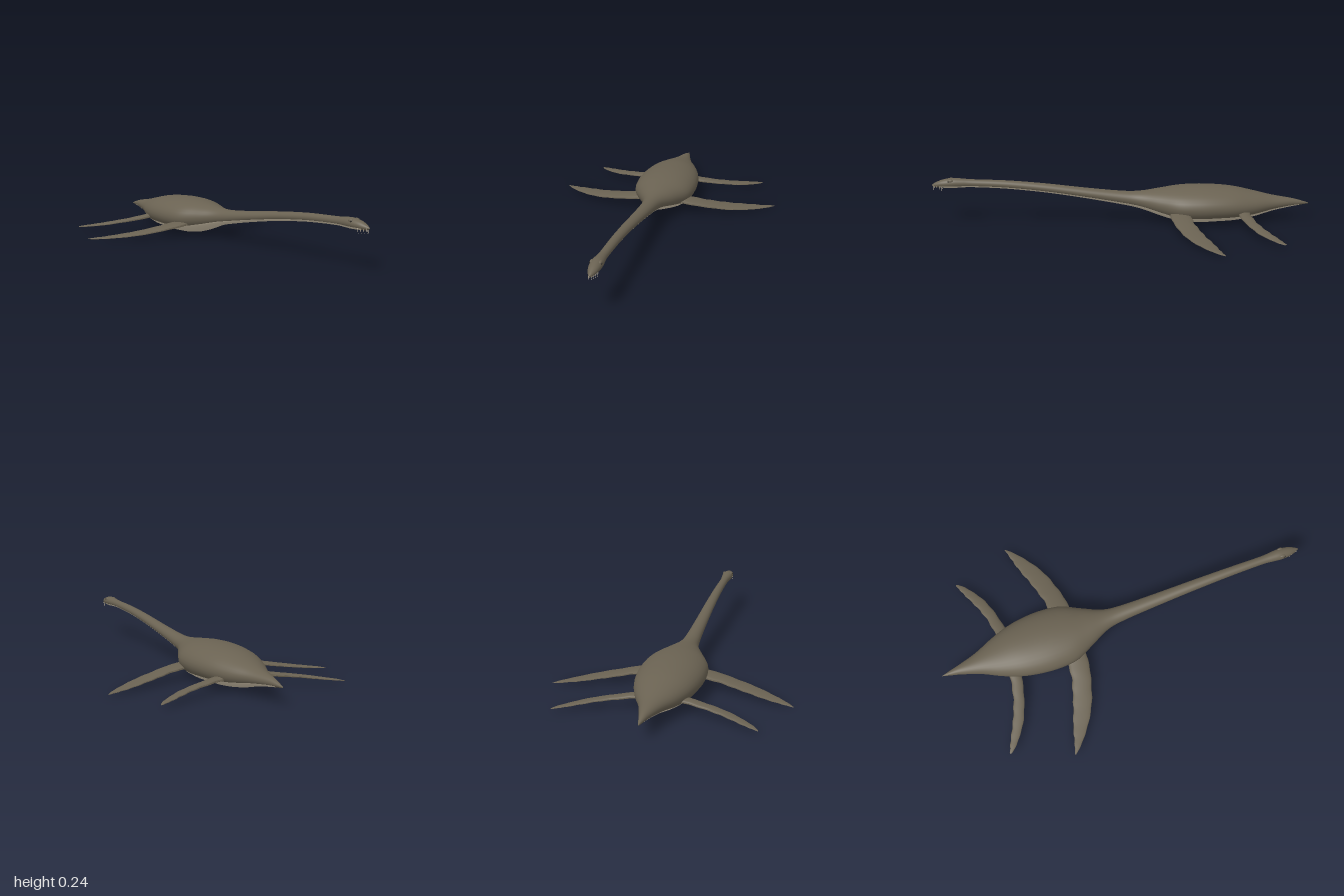
import * as THREE from 'three';

const hide = new THREE.MeshStandardMaterial({ color: 0x6a6252 });
hide.name = 'olive brown hide';
const pale = new THREE.MeshStandardMaterial({ color: 0xd6c9b0 });
pale.name = 'pale belly';
const tan = new THREE.MeshStandardMaterial({ color: 0x8c8069 });
tan.name = 'tan flipper underside';
const dark = new THREE.MeshStandardMaterial({ color: 0x24201a });
dark.name = 'eye dark';

// Smoothly resamples a list of stations (equal-length number rows)
function resample(rows, steps) {
  const out = [];
  const n = rows.length - 1;
  for (let k = 0; k < n; k++) {
    const p = [rows[Math.max(k - 1, 0)], rows[k], rows[k + 1], rows[Math.min(k + 2, n)]];
    for (let s = 0; s < steps; s++) {
      const t = s / steps;
      out.push(p[1].map((b, c) => {
        const a = p[0][c], d = p[2][c], e = p[3][c];
        return b + 0.5 * t * (d - a + t * (2 * a - 5 * b + 4 * d - e + t * (3 * (b - d) + e - a)));
      }));
    }
  }
  out.push(rows[n]);
  return out;
}

// Skins closed rings of points; faces chosen by isSecond take the second material
function loft(rings, isSecond) {
  const m = rings[0].length;
  const faces = [[], []];
  for (let i = 0; i < rings.length - 1; i++) {
    for (let j = 0; j < m; j++) {
      const a = i * m + j, b = i * m + (j + 1) % m;
      faces[isSecond(i, j) ? 1 : 0].push(a, b, a + m, b, b + m, a + m);
    }
  }
  const geo = new THREE.BufferGeometry();
  geo.setAttribute('position', new THREE.Float32BufferAttribute(rings.flat(2), 3));
  geo.setIndex([...faces[0], ...faces[1]]);
  geo.addGroup(0, faces[0].length, 0);
  geo.addGroup(faces[0].length, faces[1].length, 1);
  geo.computeVertexNormals();
  return geo;
}

// Tail, trunk, neck and head in one skin: z, top, bottom, half width
const BODY = [
  [-1.0, 0.092, 0.088, 0.001], [-0.95, 0.108, 0.08, 0.014], [-0.9, 0.12, 0.072, 0.027],
  [-0.8, 0.137, 0.052, 0.06], [-0.7, 0.16, 0.026, 0.107], [-0.6, 0.181, 0.01, 0.143],
  [-0.5, 0.191, 0.005, 0.162], [-0.4, 0.194, 0.002, 0.167], [-0.3, 0.189, 0.009, 0.154],
  [-0.2, 0.177, 0.037, 0.105], [-0.1, 0.165, 0.071, 0.057], [0, 0.166, 0.094, 0.041],
  [0.2, 0.186, 0.131, 0.033], [0.4, 0.21, 0.162, 0.028], [0.6, 0.228, 0.184, 0.024],
  [0.78, 0.236, 0.194, 0.022], [0.84, 0.241, 0.193, 0.026], [0.89, 0.244, 0.191, 0.03],
  [0.94, 0.236, 0.193, 0.025], [0.975, 0.222, 0.196, 0.014], [0.994, 0.211, 0.202, 0.004],
  [0.996, 0.207, 0.206, 0.001]
];

function makeBody() {
  const SIDES = 36;
  const rings = resample(BODY, 5).map(([z, top, bottom, w]) =>
    Array.from({ length: SIDES }, (_, j) => {
      const a = j / SIDES * Math.PI * 2;
      return [w * Math.cos(a), (top + bottom) / 2 + (top - bottom) / 2 * Math.sin(a), z];
    }));
  // the lower third is pale, from near the tail tip to the throat
  const isBelly = (i, j) => i > 4 && i < 92 && j >= 21 && j < 33;
  return new THREE.Mesh(loft(rings, isBelly), [hide, pale]);
}

// Flippers: x, leading z, trailing z, y, half thickness
const FRONT = [
  [0.08, -0.25, -0.355, 0.074, 0.015], [0.14, -0.25, -0.36, 0.066, 0.014],
  [0.22, -0.259, -0.364, 0.055, 0.012], [0.3, -0.28, -0.385, 0.042, 0.01],
  [0.38, -0.306, -0.409, 0.031, 0.008], [0.46, -0.347, -0.437, 0.022, 0.006],
  [0.53, -0.396, -0.456, 0.016, 0.005], [0.58, -0.438, -0.469, 0.013, 0.004],
  [0.612, -0.473, -0.478, 0.011, 0.001]
];
const REAR = [
  [0.06, -0.6, -0.67, 0.076, 0.013], [0.13, -0.608, -0.67, 0.066, 0.012],
  [0.22, -0.626, -0.685, 0.054, 0.01], [0.3, -0.65, -0.71, 0.045, 0.008],
  [0.37, -0.68, -0.74, 0.036, 0.007], [0.43, -0.72, -0.768, 0.029, 0.005],
  [0.47, -0.752, -0.784, 0.025, 0.004], [0.496, -0.782, -0.794, 0.022, 0.001]
];

function makeFlipper(rows, side) {
  const SIDES = 16;
  const rings = resample(rows, 5).map(([x, lead, trail, y, t], i) => {
    // gentle scalloping along both edges
    const fade = Math.min(1, (lead - trail) / 0.06);
    const back = trail + 0.0025 * Math.sin(i * 1.3) * fade;
    const front = lead + 0.0015 * Math.sin(i * 1.1) * fade;
    return Array.from({ length: SIDES }, (_, j) => {
      const a = j / SIDES * Math.PI * 2;
      return [side * x, y - side * t * Math.sin(a), (front + back) / 2 + (front - back) / 2 * Math.cos(a)];
    });
  });
  const isUnderside = (i, j) => (j < SIDES / 2) === (side > 0);
  return new THREE.Mesh(loft(rings, isUnderside), [hide, tan]);
}

export function createModel() {
  const model = new THREE.Group();
  model.name = 'longNeckedSeaReptile';
  const add = (mesh, name) => {
    mesh.name = name;
    model.add(mesh);
    return mesh;
  };
  add(makeBody(), 'body');

  const eyeGeo = new THREE.SphereGeometry(0.004, 12, 8);
  const browGeo = new THREE.SphereGeometry(0.01, 14, 10);
  const toothGeo = new THREE.ConeGeometry(0.0018, 0.026, 6);
  for (const side of [1, -1]) {
    const label = side > 0 ? 'left' : 'right';
    add(makeFlipper(FRONT, side), label + 'FrontFlipper');
    add(makeFlipper(REAR, side), label + 'RearFlipper');

    // brow bump with an eye in front of it
    const brow = add(new THREE.Mesh(browGeo, hide), label + 'Brow');
    brow.position.set(side * 0.02, 0.232, 0.896);
    brow.scale.set(0.9, 0.9, 1.6);
    add(new THREE.Mesh(eyeGeo, dark), label + 'Eye').position.set(side * 0.027, 0.23, 0.905);

    // sparse teeth hanging along the jaw
    for (let i = 0; i < 4; i++) {
      const tooth = add(new THREE.Mesh(toothGeo, pale), label + 'Tooth');
      tooth.position.set(side * (0.02 - i * 0.0045), 0.19 + i * 0.001, 0.942 + i * 0.0145);
      tooth.rotation.set(Math.PI - 0.15, 0, side * 0.2);
    }
  }
  return model;
}
